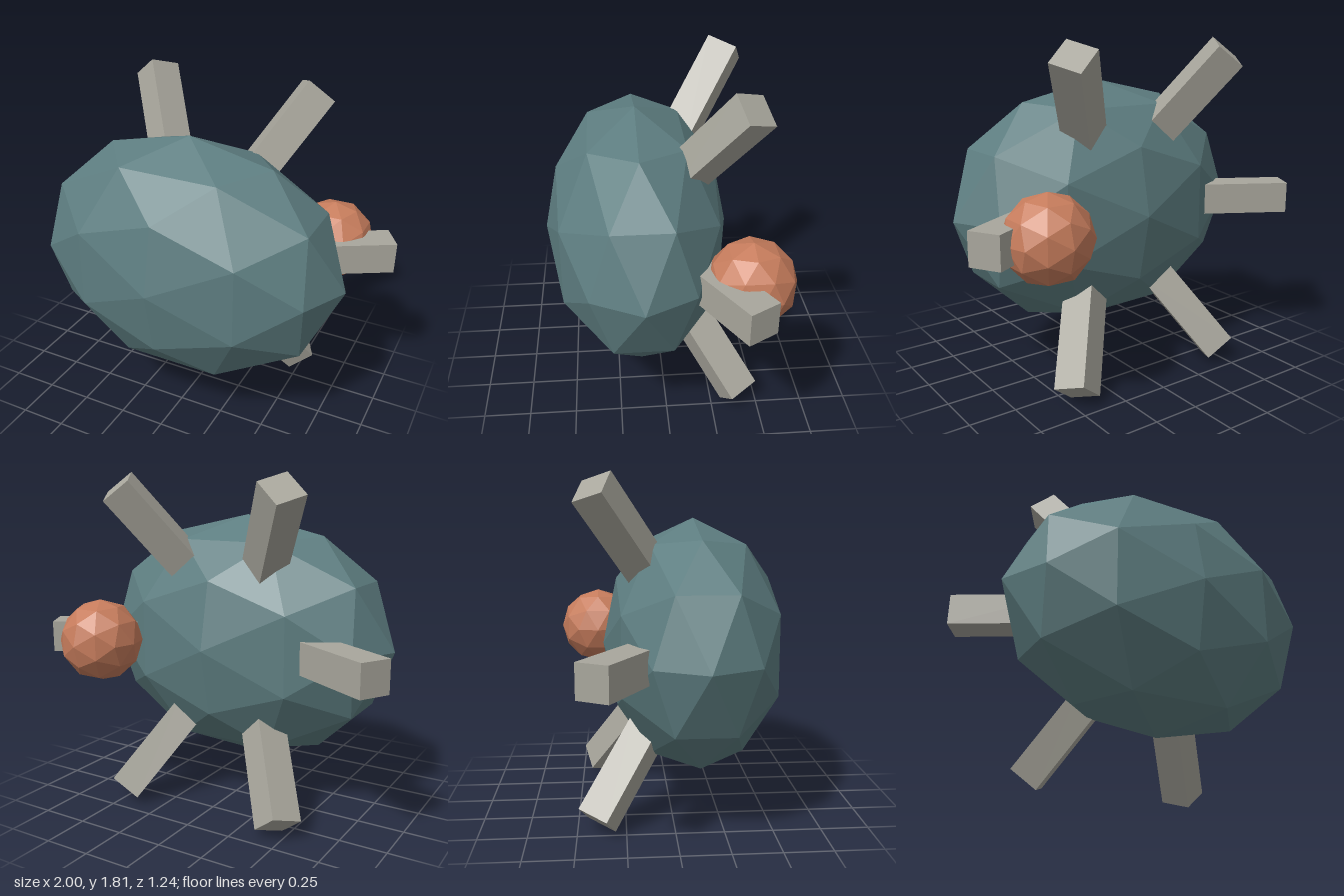
import * as THREE from 'three';

const material = (color) => new THREE.MeshStandardMaterial({ color, flatShading: true });

export function createModel() {
  const model = new THREE.Group();
  const add = (name, geometry, mat) => {
    const mesh = new THREE.Mesh(geometry, mat);
    mesh.name = name;
    model.add(mesh);
    return mesh;
  };

  // Faceted ellipsoid body
  const body = add('body', new THREE.IcosahedronGeometry(1, 1), material(0x5d7d80));
  body.scale.set(0.866, 0.677, 0.49);
  body.position.set(0, 0.903, 0.13);

  // Small faceted ball sunk into the back left side
  const ball = add('ball', new THREE.IcosahedronGeometry(0.225, 1), material(0xc67c5c));
  ball.position.set(0.627, 0.903, -0.397);

  // Six square pegs fanned out every 60 degrees and tilted 30 degrees backwards
  const length = 0.6;
  const pegGeometry = new THREE.BoxGeometry(length, 0.17, 0.17);
  const pegMaterial = material(0xa8a69c);
  const tilt = Math.PI / 6;
  for (const side of [1, -1]) {
    for (const [label, angle] of [['upper', Math.PI / 3], ['middle', 0], ['lower', -Math.PI / 3]]) {
      const dir = new THREE.Vector3(
        side * Math.cos(angle) * Math.cos(tilt),
        Math.sin(angle) * Math.cos(tilt),
        -Math.sin(tilt)
      );
      const tip = new THREE.Vector3(
        side * 0.957 * Math.cos(angle),
        0.903 + 0.957 * Math.sin(angle),
        -0.398
      );
      const peg = add(`${label}${side > 0 ? 'Left' : 'Right'}Peg`, pegGeometry, pegMaterial);
      peg.quaternion.setFromUnitVectors(new THREE.Vector3(side, 0, 0), dir);
      peg.position.copy(tip).addScaledVector(dir, -length / 2);
    }
  }
  return model;
}
